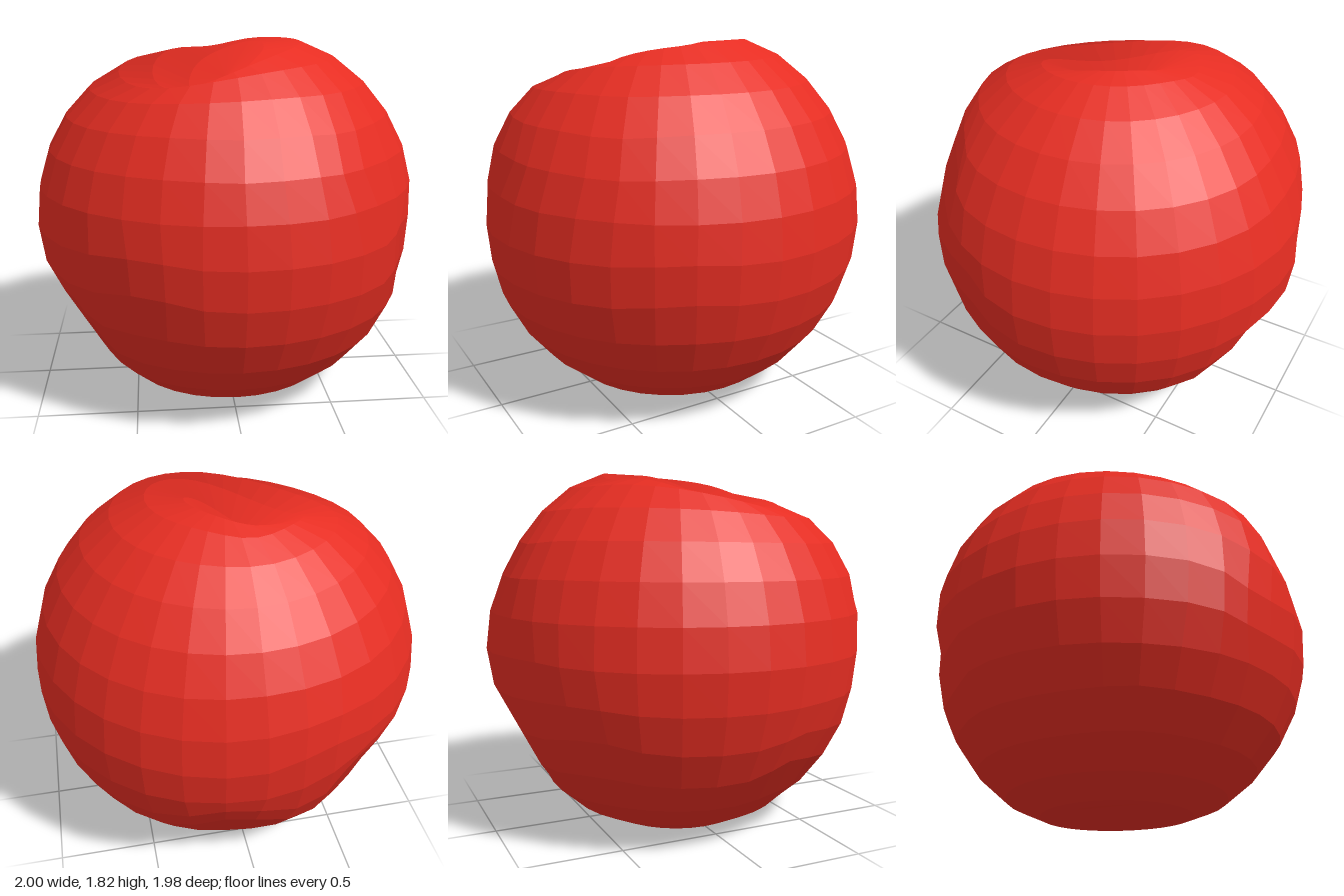
import * as THREE from 'three';

const CENTRE_Y = 0.93;

// Shallow dents in the sides: direction, depth, spread
const sideDents = [
  [[0.9, -0.05, 0.42], 0.07, 0.24],
  [[0.6, 0.38, 0.7], 0.1, 0.28],
  [[0.03, 0.36, 0.93], 0.07, 0.24],
  [[-0.48, -0.1, 0.87], 0.09, 0.25],
  [[-0.8, -0.48, 0.33], 0.08, 0.25],
  [[-0.6, -0.35, -0.72], 0.08, 0.26],
  [[-0.32, 0, -0.94], 0.06, 0.24],
  [[0.12, -0.48, -0.86], 0.08, 0.24],
  [[0, 0.5, -0.87], 0.04, 0.28],
].map(([d, depth, spread]) => ({ dir: new THREE.Vector3(...d).normalize(), depth, spread }));

// Hollows around the poles: x, z, height change, spread
const topHollows = [
  [-0.18, 0.15, -0.27, 0.36],
  [-0.07, 0.03, -0.12, 0.2],
  [-0.06, -0.36, -0.04, 0.18],
];
const bottomHollows = [[0.05, 0, 0.27, 0.23]];

const falloff = (d, spread) => Math.exp(-((d / spread) ** 2));

// Moves one point of the unit sphere
function shape(p) {
  const n = p.clone();
  let r = 1;
  for (const { dir, depth, spread } of sideDents) r -= depth * falloff(n.distanceTo(dir), spread);
  p.multiplyScalar(r);
  if (Math.abs(n.y) > 0.3) {
    for (const [x, z, lift, spread] of n.y > 0 ? topHollows : bottomHollows) {
      p.y += lift * falloff(Math.hypot(n.x - x, n.z - z), spread);
    }
  }
  p.y += CENTRE_Y;
}

export function createModel() {
  const group = new THREE.Group();
  group.name = 'fruit';

  // Faceted body; the facets keep the round shading so the dents stay soft
  const geometry = new THREE.SphereGeometry(1, 32, 16).toNonIndexed();
  geometry.computeVertexNormals();
  const pos = geometry.attributes.position;
  const p = new THREE.Vector3();
  for (let i = 0; i < pos.count; i++) {
    p.fromBufferAttribute(pos, i);
    shape(p);
    pos.setXYZ(i, p.x, p.y, p.z);
  }

  const body = new THREE.Mesh(
    geometry,
    new THREE.MeshStandardMaterial({ color: 0xe62d22, side: THREE.DoubleSide })
  );
  body.name = 'fruitBody';
  group.add(body);
  return group;
}
